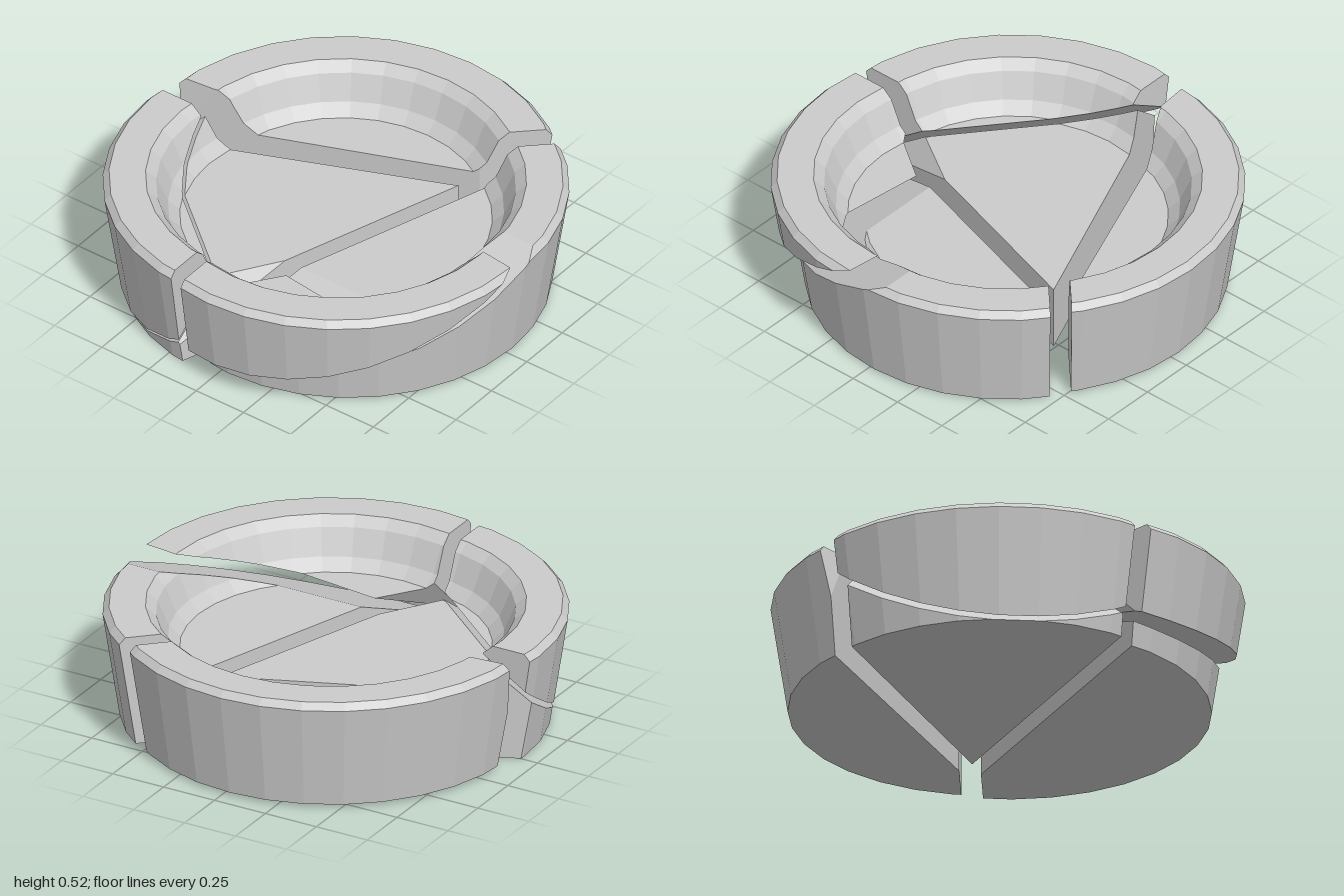
import * as THREE from 'three';

const V = (x, y, z) => new THREE.Vector3(x, y, z);

// Dish profile: underside, outer wall, bevelled rim, inner wall, thick floor
const PROFILE = [
  [0, 0], [0.86, 0], [0.932, 0.475], [0.905, 0.505], [0.75, 0.505],
  [0.705, 0.465], [0.655, 0.35], [0.605, 0.3], [0, 0.3],
].map(([r, y]) => new THREE.Vector2(r, y));

// Whole dish as a list of triangles, moved to a fragment's place
function dishTriangles(offset) {
  const p = new THREE.LatheGeometry(PROFILE, 32).toNonIndexed().attributes.position;
  const tris = [];
  for (let i = 0; i < p.count; i += 3) {
    const t = [0, 1, 2].map((k) => V().fromBufferAttribute(p, i + k).add(offset));
    if (new THREE.Triangle(...t).getArea() > 1e-8) tris.push(t);
  }
  return tris;
}

// Upright fracture through two floor points
const wall = (x1, z1, x2, z2) => [V(x1, 0, z1), V(x2, 0, z2), V(x1, 1, z1)];

// Cut a closed triangle list by a plane, keep the side holding "keep", close the cut
function cut(tris, points, keep) {
  const plane = new THREE.Plane().setFromCoplanarPoints(...points);
  if (plane.distanceToPoint(keep) > 0) plane.negate();
  const out = [], segments = [];
  for (const t of tris) {
    const d = t.map((p) => plane.distanceToPoint(p)).map((s) => (Math.abs(s) < 1e-6 ? 1e-6 : s));
    const poly = [], seg = [];
    for (let i = 0; i < 3; i++) {
      const j = (i + 1) % 3;
      if (d[i] < 0) poly.push(t[i]);
      if (d[i] < 0 !== d[j] < 0) {
        const q = t[i].clone().lerp(t[j], d[i] / (d[i] - d[j]));
        poly.push(q);
        seg[d[i] < 0 ? 1 : 0] = q;
      }
    }
    for (let i = 2; i < poly.length; i++) out.push([poly[0], poly[i - 1], poly[i]]);
    if (seg.length === 2) segments.push(seg);
  }
  // Chain the cut edges into loops and fill each one
  const n = plane.normal;
  const u = V(n.y, n.z, -n.x).cross(n).normalize();
  const v = n.clone().cross(u);
  while (segments.length) {
    const loop = [];
    let seg = segments.pop();
    while (seg) {
      loop.push(seg[1]);
      let best = -1, dist = 1e-4;
      segments.forEach((s, i) => {
        const l = s[0].distanceTo(seg[1]);
        if (l < dist) { dist = l; best = i; }
      });
      seg = best < 0 ? null : segments.splice(best, 1)[0];
    }
    if (loop.length < 3) continue;
    const flat = loop.map((p) => new THREE.Vector2(p.dot(u), p.dot(v)));
    for (const f of THREE.ShapeUtils.triangulateShape(flat, [])) {
      const t = f.map((i) => loop[i]);
      const facing = t[1].clone().sub(t[0]).cross(t[2].clone().sub(t[0])).dot(n);
      out.push(facing > 0 ? t : [t[0], t[2], t[1]]);
    }
  }
  return out;
}

const FRAGMENTS = [
  {
    name: 'backFragment', offset: V(-0.03, 0.015, -0.07), keep: V(-0.2, 0.3, -0.8),
    cuts: [
      wall(-0.95, -0.11, 0.3, -0.6),
      wall(0.3, -0.6, 0.52, -0.81),
      [V(-0.78, 0.52, -0.176), V(-0.95, 0.52, -0.16), V(-0.95, 0.2, -0.105)],
    ],
  },
  {
    name: 'floorFragment', offset: V(-0.06, 0, 0.02), keep: V(-0.1, 0.1, 0.1),
    cuts: [
      wall(-0.82, -0.04, 0.27, -0.49),
      wall(0.27, -0.49, -0.17, 0.87),
      [V(-0.01, 0.3, 0.37), V(-0.18, 0.3, 0.63), V(-0.17, 0.1, 0.87)],
      [V(-0.7, 0.3, 0.19), V(-0.18, 0.3, 0.62), V(-0.55, 0, 0.72)],
    ],
  },
  {
    name: 'rightRimFragment', offset: V(-0.06, 0.015, 0.03), keep: V(-0.65, 0.4, 0.65),
    cuts: [
      wall(-1, -0.04, 0, -0.04),
      wall(-0.17, 0, -0.17, 1),
      [V(-0.7, 0.325, 0.2), V(-0.18, 0.325, 0.63), V(-0.55, 0.02, 0.73)],
    ],
  },
  {
    name: 'leftFragment', offset: V(0.04, 0.008, -0.03), keep: V(0.7, 0.1, -0.2),
    cuts: [
      wall(0.38, -0.55, 0.09, 0.35),
      wall(0.38, -0.55, 0.6, -0.76),
      [V(0, 0.46, 0), V(1, 0.46, 0), V(0, 0.05, 1)],
    ],
  },
  {
    name: 'frontRimFragment', offset: V(0.05, 0.015, 0.06), keep: V(0.5, 0.45, 0.8),
    cuts: [
      wall(-0.1, 0, -0.1, 1),
      [V(0.09, 0.315, 0.43), V(-0.09, 0.315, 0.68), V(-0.1, 0.1, 0.92)],
      [V(0, 0.495, 0), V(1, 0.545, 0), V(0, 0.095, 1)],
    ],
  },
];

export function createModel() {
  const group = new THREE.Group();
  group.name = 'brokenDish';
  const material = new THREE.MeshStandardMaterial({ color: 0xcccccc, flatShading: true });
  for (const { name, offset, keep, cuts } of FRAGMENTS) {
    const tris = cuts.reduce((t, c) => cut(t, c, keep), dishTriangles(offset));
    const geometry = new THREE.BufferGeometry().setFromPoints(tris.flat());
    geometry.computeVertexNormals();
    const mesh = new THREE.Mesh(geometry, material);
    mesh.name = name;
    group.add(mesh);
  }
  return group;
}
